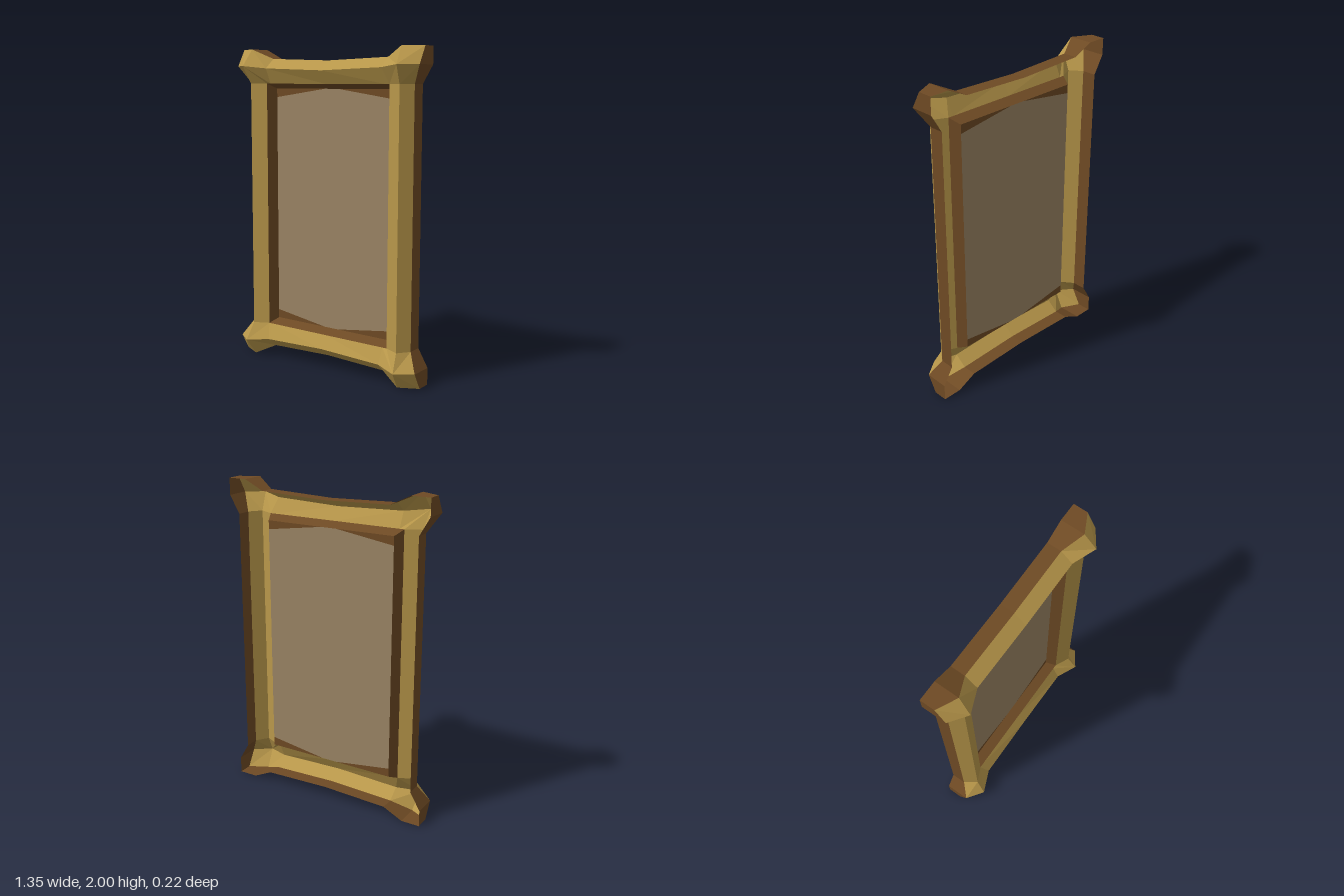
import * as THREE from 'three';

const mat = (name, color) => new THREE.MeshStandardMaterial({ name, color, side: THREE.DoubleSide, flatShading: true });

// One quarter of the frame as rows of points, from top centre clockwise
// to the middle of the side. Heights are measured from the frame's centre.
const peak = [0.57, 0.895, 0.11];
const outer = [
  [0, 0.925, -0.025], [0.43, 0.94, -0.025], [0.555, 1, 0.035], [0.675, 1, -0.025],
  [0.675, 0.895, 0.035], [0.61, 0.785, -0.025], [0.61, 0, -0.025],
];
const ridge = [[0, 0.865, 0.05], [0.43, 0.88, 0.05], peak, peak, peak, [0.555, 0.785, 0.05], [0.555, 0, 0.05]];
const rimCorner = [0.46, 0.785, 0.005];
const rim = [[0, 0.785, 0.005], [0.43, 0.785, 0.005], rimCorner, rimCorner, rimCorner, rimCorner, [0.46, 0, 0.005]];
const back = outer.map(([x, y]) => [x, y, -0.115]);

// Recess walls and the backing they end at
const Z = -0.06;
const recessFront = [[0, 0.785, 0.005], rimCorner, [0.46, 0, 0.005]];
const recessBack = [[0, 0.755, Z], [0.43, 0.755, Z], [0.43, 0, Z]];

// Quads between two rows, left out where they shrink to nothing
function strip(a, b) {
  const faces = [];
  for (let i = 0; i < a.length - 1; i++) {
    if (a[i] !== a[i + 1] && b[i] !== b[i + 1]) faces.push([a[i], b[i], b[i + 1], a[i + 1]]);
    else if (a[i] !== a[i + 1]) faces.push([a[i], b[i], a[i + 1]]);
    else if (b[i] !== b[i + 1]) faces.push([a[i], b[i], b[i + 1]]);
  }
  return faces;
}

// Mirrors the faces of one quarter into all four
function fourfold(name, faces, material) {
  const pos = [];
  for (const sx of [1, -1]) for (const sy of [1, -1]) {
    for (const face of faces) {
      const f = face.map(([x, y, z]) => [x * sx, 1 + y * sy, z]);
      if (sx * sy < 0) f.reverse();
      for (let i = 1; i < f.length - 1; i++) pos.push(...f[0], ...f[i], ...f[i + 1]);
    }
  }
  const geo = new THREE.BufferGeometry();
  geo.setAttribute('position', new THREE.Float32BufferAttribute(pos, 3));
  geo.computeVertexNormals();
  const mesh = new THREE.Mesh(geo, material);
  mesh.name = name;
  return mesh;
}

export function createModel() {
  const gold = mat('gold', 0xb8974a);
  const wood = mat('darkWood', 0x6e4a24);
  const canvas = mat('canvas', 0x9a8464);

  const group = new THREE.Group();
  group.name = 'pictureFrame';
  group.add(
    // Gilded moulding, open at the back
    fourfold('outerBevel', strip(outer, ridge), gold),
    fourfold('innerBevel', strip(ridge, rim), gold),
    // Wooden sides
    fourfold('outerWall', strip(back, outer), wood),
    fourfold('recessWall', strip(recessFront, recessBack), wood),
    // Canvas with bare wood showing at the corners
    fourfold('canvas', [[[0, 0, Z], [0.43, 0, Z], [0.43, 0.7, Z], [0.05, 0.755, Z], [0, 0.755, Z]]], canvas),
    fourfold('backingCorner', [[[0.43, 0.7, Z], [0.43, 0.755, Z], [0.05, 0.755, Z]]], wood),
  );
  return group;
}
